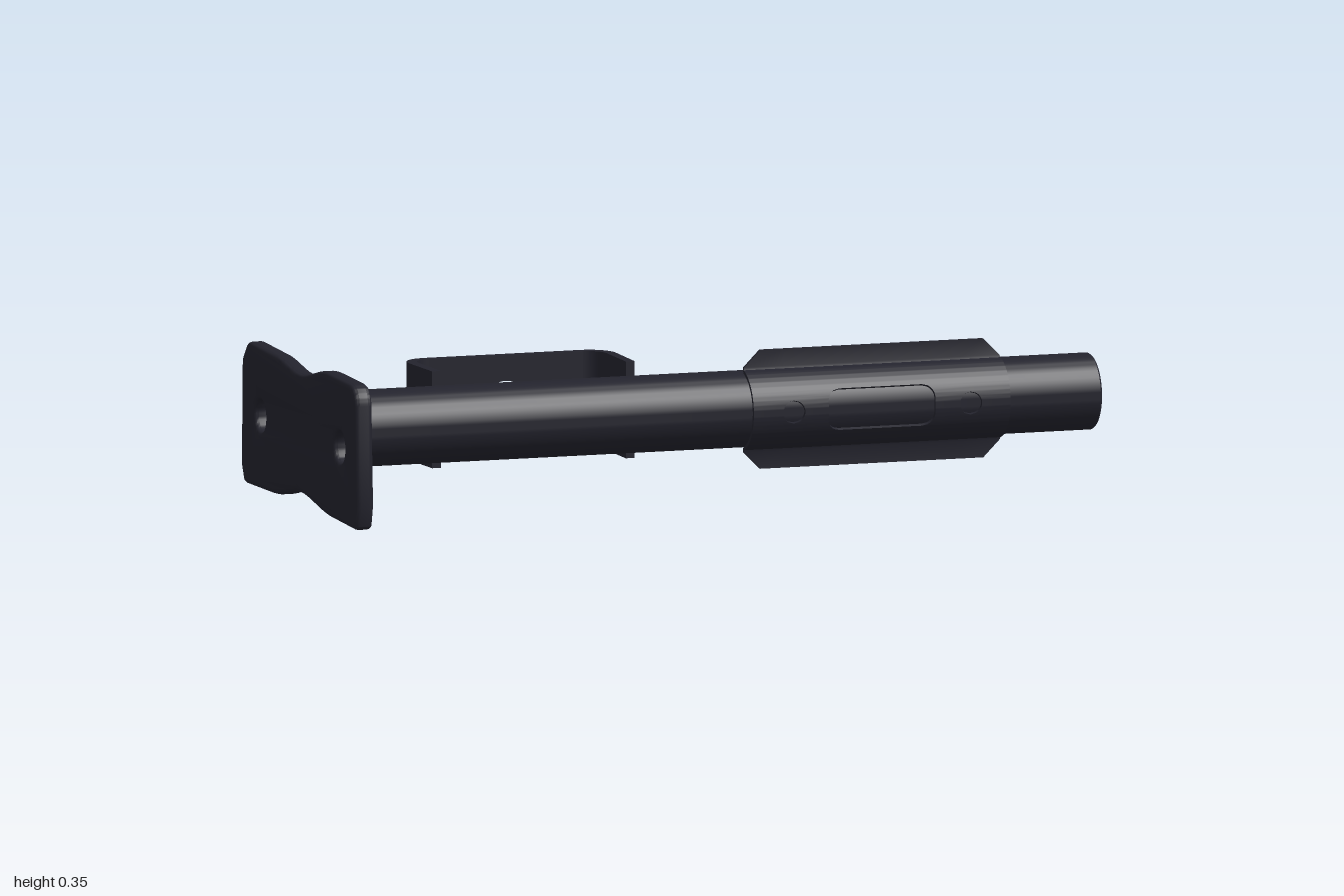
import * as THREE from 'three';
import { toCreasedNormals } from 'three/addons/utils/BufferGeometryUtils.js';

const AXIS_Y = 0.188, AXIS_Z = 0.005; // centre line of the tube

export function createModel() {
  const group = new THREE.Group();
  const steel = new THREE.MeshStandardMaterial({ color: 0x23232d });
  steel.name = 'dark steel';

  const add = (name, geometry, crease = 0.6) => {
    const mesh = new THREE.Mesh(toCreasedNormals(geometry, crease), steel);
    mesh.name = name;
    group.add(mesh);
    return mesh;
  };
  const circle = (x, y, r) => new THREE.Path().absarc(x, y, r, 0, Math.PI * 2, true);
  const polygon = (points) => new THREE.Shape(points.map(([x, y]) => new THREE.Vector2(x, y)));

  // Hollow tube along x
  const wall = [[0.076, -0.955], [0.09, -0.955], [0.092, -0.953], [0.092, 0.996],
    [0.089, 1], [0.078, 1], [0.076, 0.997], [0.076, -0.955]];
  const tube = new THREE.LatheGeometry(wall.map(([r, y]) => new THREE.Vector2(r, y)), 64);
  tube.rotateZ(-Math.PI / 2);
  add('tube', tube).position.set(0, AXIS_Y, AXIS_Z);

  // Waisted mounting plate with two bolt holes, outline as (-z, y)
  const plateShape = new THREE.Shape();
  plateShape.moveTo(-0.385, 0.002);
  plateShape.lineTo(-0.21, 0.01);
  plateShape.bezierCurveTo(-0.13, 0.016, -0.06, 0.04, 0, 0.04);
  plateShape.bezierCurveTo(0.06, 0.04, 0.11, 0.012, 0.2, 0.012);
  plateShape.lineTo(0.375, 0.011);
  plateShape.quadraticCurveTo(0.388, 0.012, 0.393, 0.022);
  plateShape.lineTo(0.408, 0.055);
  plateShape.lineTo(0.402, 0.3);
  plateShape.quadraticCurveTo(0.4, 0.312, 0.393, 0.32);
  plateShape.lineTo(0.37, 0.347);
  plateShape.quadraticCurveTo(0.362, 0.356, 0.345, 0.355);
  plateShape.lineTo(0.16, 0.347);
  plateShape.bezierCurveTo(0.1, 0.342, 0.05, 0.325, 0, 0.325);
  plateShape.bezierCurveTo(-0.06, 0.325, -0.12, 0.355, -0.19, 0.355);
  plateShape.lineTo(-0.35, 0.35);
  plateShape.quadraticCurveTo(-0.395, 0.348, -0.4, 0.3);
  plateShape.lineTo(-0.411, 0.06);
  plateShape.lineTo(-0.4, 0.012);
  plateShape.quadraticCurveTo(-0.397, 0.002, -0.385, 0.002);
  plateShape.holes.push(circle(-0.283, AXIS_Y, 0.038), circle(0.274, AXIS_Y, 0.038));
  const plate = new THREE.ExtrudeGeometry(plateShape, {
    depth: 0.021, bevelThickness: 0.012, bevelSize: 0.012, bevelOffset: -0.012,
    bevelSegments: 3, curveSegments: 16,
  });
  plate.rotateY(Math.PI / 2);
  add('mountingPlate', plate).position.x = -0.988;

  // Scalloped weld bead where the tube meets the plate
  const bead = [];
  for (let i = 0; i < 120; i++) {
    const a = (i / 120) * Math.PI * 2, r = 0.11 + 0.002 * Math.cos(20 * a);
    bead.push([r * Math.cos(a), r * Math.sin(a)]);
  }
  const beadShape = polygon(bead);
  beadShape.holes.push(circle(0, 0, 0.085));
  const weld = new THREE.ExtrudeGeometry(beadShape, {
    depth: 0.012, bevelThickness: 0.01, bevelSize: 0.01, bevelOffset: -0.01,
    bevelSegments: 3, curveSegments: 32,
  });
  weld.rotateY(Math.PI / 2);
  add('weldBead', weld).position.set(-0.957, AXIS_Y, AXIS_Z);

  // U bracket behind the tube: pierced back panel and two bent legs
  const bracketX = -0.382, bottom = 0.072, height = 0.233;
  const panelShape = polygon([[-0.195, 0], [0.195, 0], [0.195, height], [-0.195, height]]);
  panelShape.holes.push(circle(0, height / 2, 0.055));
  add('bracketPanel', new THREE.ExtrudeGeometry(panelShape, {
    depth: 0.024, bevelEnabled: false, curveSegments: 24,
  })).position.set(bracketX, bottom, -0.284);
  for (const s of [-1, 1]) {
    const leg = new THREE.Shape();
    leg.moveTo(s * 0.256, 0.065);
    leg.lineTo(s * 0.262, 0.215);
    leg.bezierCurveTo(s * 0.262, 0.255, s * 0.235, 0.284, s * 0.195, 0.284);
    leg.lineTo(s * 0.195, 0.26);
    leg.bezierCurveTo(s * 0.222, 0.26, s * 0.238, 0.24, s * 0.238, 0.215);
    leg.lineTo(s * 0.234, 0.065);
    const legGeometry = new THREE.ExtrudeGeometry(leg, {
      depth: height, bevelEnabled: false, curveSegments: 8,
    });
    legGeometry.rotateX(-Math.PI / 2);
    add(s < 0 ? 'bracketLegRight' : 'bracketLegLeft', legGeometry)
      .position.set(bracketX, bottom, 0);
  }

  add('saddlePlate', saddleGeometry(), 0.5).position.set(0.44, AXIS_Y, AXIS_Z);
  return group;
}

// Sheet wrapped over the tube front, with flanges, a slot and two round holes
function saddleGeometry() {
  const R = 0.1, T = 0.008, half = 0.325, slot = 0.05, hole = R * Math.sin(Math.PI * 16 / 180);
  const angles = [-30.01, 30.01];
  for (let a = -74; a <= 74; a += 2) angles.push(a);
  angles.sort((a, b) => a - b);

  // Rows from the bottom flange tip to the top one: y, z, normal and thickness
  const rows = angles.map((deg) => {
    const a = deg * Math.PI / 180, ny = Math.sin(a), nz = Math.cos(a);
    return { y: R * ny, z: R * nz, ny, nz, t: T, slotted: Math.abs(deg) <= 30 };
  });
  const flange = (y, t) => ({ y, z: 0.026, ny: 0, nz: 1, t, slotted: false });
  rows.unshift(flange(-0.143, 0), flange(-0.143, T), flange(-0.102, T));
  rows.push(flange(0.102, T), flange(0.143, T), flange(0.143, 0));

  // Edges of the solid spans in one row, left to right
  const edges = (row) => {
    const y = Math.abs(row.y), end = half - Math.max(0, y - 0.1);
    const h = Math.sqrt(Math.max(0, hole * hole - y * y));
    const corner = 0.03, over = Math.max(0, y - (slot - corner));
    const w = row.slotted
      ? 0.135 - corner + Math.sqrt(Math.max(0, corner * corner - over * over)) : 0;
    return [-end, -0.222 - h, -0.222 + h, -w, w, 0.225 - h, 0.225 + h, end];
  };
  const section = (row, span) => {
    const e = edges(row), l = e[span * 2], r = e[span * 2 + 1];
    const iy = row.y - row.ny * row.t, iz = row.z - row.nz * row.t;
    return [[l, row.y, row.z], [r, row.y, row.z], [r, iy, iz], [l, iy, iz]];
  };

  const positions = [];
  for (let span = 0; span < 4; span++) {
    for (let i = 0; i < rows.length - 1; i++) {
      const p = section(rows[i], span), q = section(rows[i + 1], span);
      for (let k = 0; k < 4; k++) {
        const n = (k + 1) % 4;
        positions.push(...p[k], ...p[n], ...q[n], ...p[k], ...q[n], ...q[k]);
      }
    }
  }
  const geometry = new THREE.BufferGeometry();
  geometry.setAttribute('position', new THREE.Float32BufferAttribute(positions, 3));
  geometry.computeVertexNormals();
  return geometry;
}
